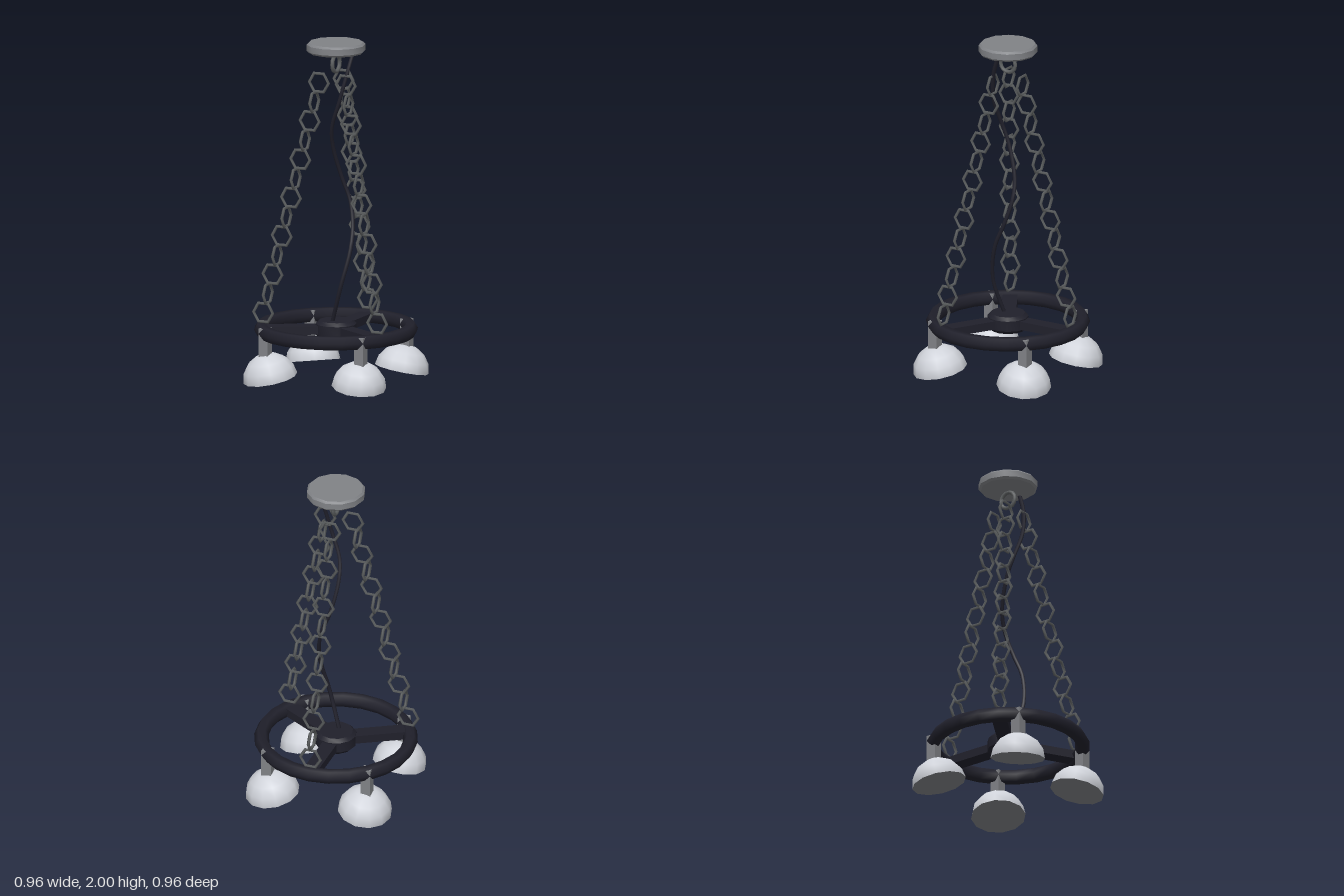
import * as THREE from 'three';
import { toCreasedNormals } from 'three/addons/utils/BufferGeometryUtils.js';

const material = (name, color) => {
  const m = new THREE.MeshStandardMaterial({ color });
  m.name = name;
  return m;
};

export function createModel() {
  const model = new THREE.Group();
  model.name = 'chandelier';
  const black = material('black metal', 0x20202b);
  const grey = material('grey metal', 0x808286);
  const steel = material('chain steel', 0x5c5f60);
  const glass = material('pale shade', 0xd0d3da);

  const add = (name, geometry, mat, parent = model) => {
    const mesh = new THREE.Mesh(geometry, mat);
    mesh.name = name;
    parent.add(mesh);
    return mesh;
  };

  // Twelve-sided disc with bevelled rims
  const disc = (radius, y0, y1, bevel) => toCreasedNormals(new THREE.LatheGeometry([
    [0, y0], [radius - bevel, y0], [radius, y0 + bevel],
    [radius, y1 - bevel], [radius - bevel, y1], [0, y1],
  ].map(([x, y]) => new THREE.Vector2(x, y)), 12), 0.6);

  // Ceiling canopy and its hanging loop
  add('canopy', disc(0.172, 1.94, 2, 0.012), grey);
  const loop = add('hangingLoop', new THREE.TorusGeometry(0.05, 0.012, 6, 14), steel);
  loop.position.y = 1.875;
  loop.rotation.y = Math.PI / 2;

  // Wheel: rim, hub and three spokes
  const wheelY = 0.3;
  const rim = add('rim', new THREE.TorusGeometry(0.435, 0.043, 6, 24), black);
  rim.rotation.x = Math.PI / 2;
  rim.position.y = wheelY;
  add('hub', disc(0.12, 0.25, 0.352, 0.02), black);

  const linkGeometry = new THREE.TorusGeometry(0.062, 0.01, 4, 6);
  for (let s = 0; s < 3; s++) {
    const angle = Math.PI + s * Math.PI * 2 / 3; // the first spoke points back
    const dx = Math.sin(angle), dz = Math.cos(angle);

    const spoke = add('spoke', new THREE.BoxGeometry(0.087, 0.05, 0.43), black);
    spoke.position.set(dx * 0.215, wheelY, dz * 0.215);
    spoke.rotation.y = angle;

    // Chain of hexagonal links, alternately turned, leaning in to the top
    const chain = new THREE.Group();
    chain.name = 'chain';
    model.add(chain);
    for (let i = 0; i < 13; i++) {
      const r = THREE.MathUtils.lerp(0.425, 0.1, i / 12);
      const link = add('chainLink', linkGeometry, steel, chain);
      link.position.set(dx * r, 0.402 + i * 0.1133, dz * r);
      link.rotation.y = (i % 2) * Math.PI / 2;
    }
  }

  // Wavy power cable
  const path = new THREE.CatmullRomCurve3([
    [0.11, 1.95, 0], [0.09, 1.82, 0.045], [0.052, 1.66, 0.065],
    [-0.005, 1.5, 0.045], [-0.017, 1.38, 0.005], [0.015, 1.18, -0.055],
    [0.06, 1.06, -0.065], [0.095, 0.92, -0.03], [0.105, 0.78, 0.025],
    [0.06, 0.56, 0.065], [-0.01, 0.34, 0.03],
  ].map((p) => new THREE.Vector3(...p)));
  add('cable', new THREE.TubeGeometry(path, 40, 0.012, 6), black);

  // Four lamps: post through the rim and a tilted dome shade
  const up = new THREE.Vector3(0, 1, 0);
  for (const sx of [-1, 1]) {
    for (const sz of [-1, 1]) {
      const lamp = new THREE.Group();
      lamp.name = 'lamp';
      model.add(lamp);
      const post = add('lampPost', new THREE.BoxGeometry(0.06, 0.183, 0.06), grey, lamp);
      post.position.set(sx * 0.308, 0.2405, sz * 0.308);

      const head = new THREE.Group();
      head.name = 'lampHead';
      head.position.set(sx * 0.286, 0.034, sz * 0.286);
      head.quaternion.setFromUnitVectors(up, new THREE.Vector3(sx * 0.15, 1, sz * 0.15).normalize());
      lamp.add(head);
      const shade = add('shade', new THREE.SphereGeometry(0.16, 12, 4, 0, Math.PI * 2, 0, Math.PI / 2), glass, head);
      shade.scale.y = 0.94;
      const base = add('shadeBase', new THREE.CircleGeometry(0.16, 12), grey, head);
      base.rotation.x = Math.PI / 2;
    }
  }
  return model;
}
